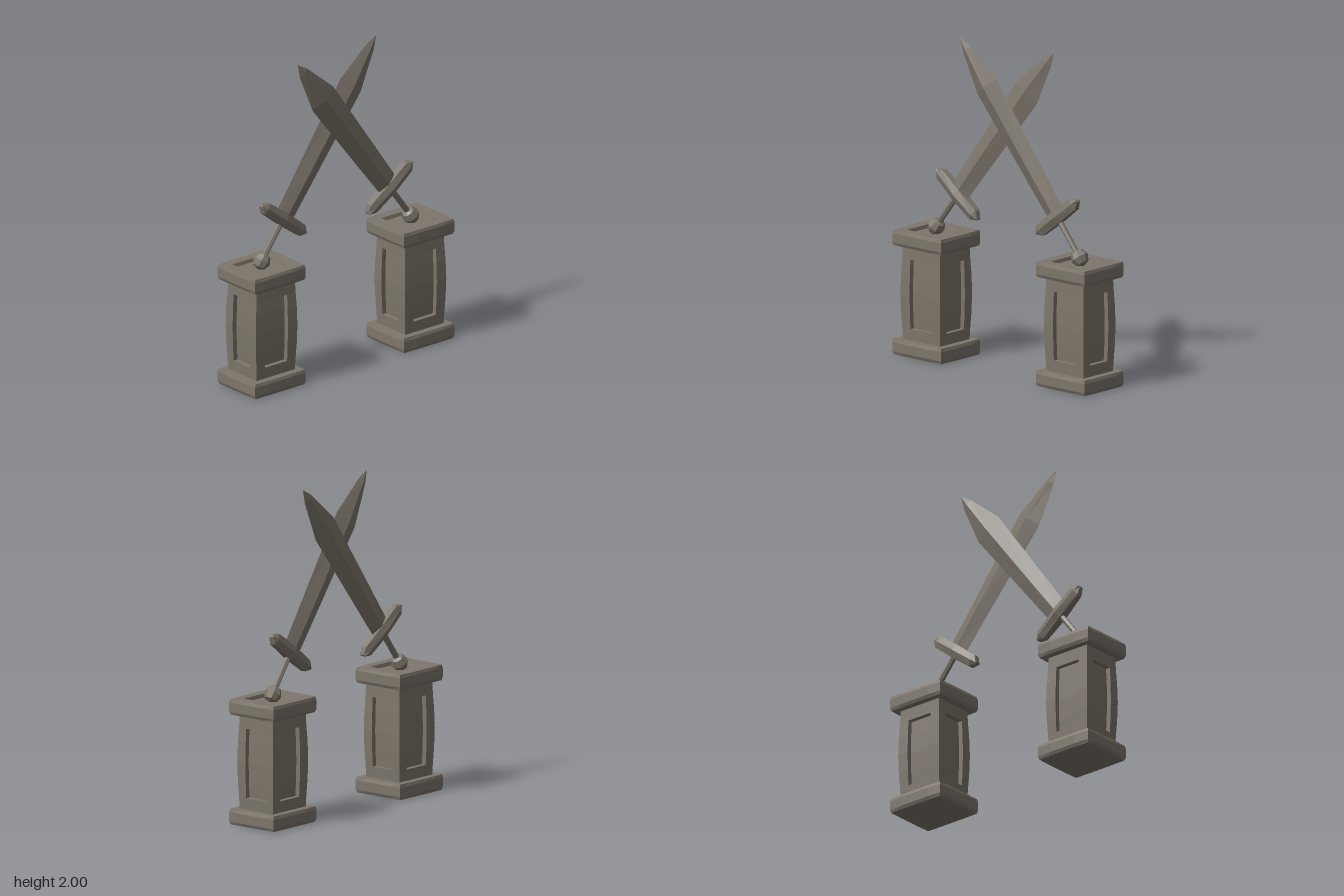
import * as THREE from 'three';

const stone = new THREE.MeshStandardMaterial({ color: 0x7d766b, flatShading: true });
stone.name = 'weathered stone';

// Flat-shaded geometry from four-cornered faces
function fromQuads(quads) {
  const pos = [];
  for (const [a, b, c, d] of quads) pos.push(...a, ...b, ...c, ...a, ...c, ...d);
  const g = new THREE.BufferGeometry();
  g.setAttribute('position', new THREE.Float32BufferAttribute(pos, 3));
  g.computeVertexNormals();
  return g;
}

// Skin over rings that run counter-clockwise about the direction of travel
function loft(rings) {
  const quads = [], n = rings[0].length;
  for (let i = 0; i < rings.length - 1; i++) {
    for (let j = 0; j < n; j++) {
      const k = (j + 1) % n;
      quads.push([rings[i][j], rings[i][k], rings[i + 1][k], rings[i + 1][j]]);
    }
  }
  return fromQuads(quads);
}

function add(parent, name, geometry) {
  const m = new THREE.Mesh(geometry, stone);
  m.name = name;
  parent.add(m);
  return m;
}

// Place a point given along and outward of side k (0 front, 1 left, 2 back, 3 right)
const onSide = (k, a, y, n) => [[a, y, n], [n, y, -a], [-a, y, -n], [-n, y, a]][k];

// Rectangular ring with sides that bulge slightly in the middle
function slabRing(y, hx, hz, bulge = 0) {
  const ring = [];
  for (let k = 0; k < 4; k++) {
    const along = k % 2 ? hz : hx, out = k % 2 ? hx : hz;
    for (const t of [-1, -0.5, 0.5]) {
      ring.push(onSide(k, t * along, y, out + (t === -1 ? 0 : bulge)));
    }
  }
  return ring;
}

// Worn slab, optionally with a sunken top
function slab(y0, y1, sunken) {
  const h = y1 - y0;
  const rings = [
    slabRing(y0, 0, 0),
    slabRing(y0, 0.19, 0.168, 0.002),
    slabRing(y0 + h * 0.2, 0.196, 0.174, 0.005),
    slabRing(y0 + h * 0.8, 0.196, 0.174, 0.005),
    slabRing(y1, 0.192, 0.17, 0.003),
  ];
  if (sunken) rings.push(slabRing(y1, 0.13, 0.115), slabRing(y1 - 0.022, 0.125, 0.11));
  const top = sunken ? y1 - 0.022 : y1;
  rings.push(slabRing(top, 0, 0));
  return loft(rings);
}

// Bulging column with a sunken panel on each side
function shaft() {
  const rows = [0.09, 0.165, 0.26, 0.38, 0.5, 0.59, 0.675];
  const swell = [0, 0.003, 0.008, 0.011, 0.008, 0.003, 0];
  const last = rows.length - 2, depth = 0.03, quads = [];
  for (let k = 0; k < 4; k++) {
    const [along, out, p] = k % 2 ? [0.13, 0.15, 0.077] : [0.15, 0.13, 0.087];
    const P = (c, i, d = 0) => {
      const half = along + swell[i];
      return onSide(k, [-half, -p, p, half][c], rows[i], out + swell[i] - d);
    };
    for (let i = 0; i <= last; i++) {
      const inPanel = i > 0 && i < last;
      for (let c = 0; c < 3; c++) {
        const d = inPanel && c === 1 ? depth : 0;
        quads.push([P(c, i, d), P(c + 1, i, d), P(c + 1, i + 1, d), P(c, i + 1, d)]);
      }
      if (inPanel) {
        quads.push([P(1, i), P(1, i, depth), P(1, i + 1, depth), P(1, i + 1)]);
        quads.push([P(2, i, depth), P(2, i), P(2, i + 1), P(2, i + 1, depth)]);
      }
    }
    quads.push([P(1, 1), P(2, 1), P(2, 1, depth), P(1, 1, depth)]);
    quads.push([P(1, last, depth), P(2, last, depth), P(2, last), P(1, last)]);
  }
  return fromQuads(quads);
}

function pedestal() {
  const g = new THREE.Group();
  g.name = 'pedestal';
  add(g, 'baseSlab', slab(0, 0.095, false));
  add(g, 'panelledShaft', shaft());
  add(g, 'capSlab', slab(0.67, 0.765, true));
  return g;
}

// Sword with its pommel at the origin, pointing up +y
function sword() {
  const g = new THREE.Group();
  g.name = 'sword';
  add(g, 'pommel', new THREE.SphereGeometry(0.055, 8, 4));
  add(g, 'grip', new THREE.CylinderGeometry(0.018, 0.018, 0.25, 6)).position.y = 0.15;

  // Guard: six-sided sections across the sword [x, half height, half depth]
  const guard = [[-0.21, 0, 0], [-0.21, 0.007, 0.02], [-0.17, 0.037, 0.032], [0, 0.041, 0.044],
    [0.17, 0.037, 0.032], [0.21, 0.007, 0.02], [0.21, 0, 0]];
  add(g, 'crossguard', loft(guard.map(([x, h, d]) => [
    [x, h, d * 0.6], [x, 0, d], [x, -h, d * 0.6], [x, -h, -d * 0.6], [x, 0, -d], [x, h, -d * 0.6],
  ]))).position.y = 0.282;

  // Blade: diamond sections [y, half width, half depth]
  const blade = [[0.27, 0, 0], [0.27, 0.072, 0.026], [0.6, 0.082, 0.033], [1.18, 0.098, 0.035],
    [1.44, 0.036, 0.015], [1.517, 0.002, 0.002], [1.517, 0, 0]];
  add(g, 'blade', loft(blade.map(([y, w, d]) => [[0, y, d], [w, y, 0], [0, y, -d], [-w, y, 0]])));
  return g;
}

export function createModel() {
  const model = new THREE.Group();
  model.name = 'crossedSwordsArch';
  // Each half is the other turned half way round; the blades lean apart to pass
  const halves = [['left', 0, 0.041], ['right', Math.PI, 0.026]];
  for (const [side, turn, lean] of halves) {
    const half = new THREE.Group();
    half.name = side + 'Half';
    half.rotation.y = turn;
    const p = pedestal();
    p.position.x = 0.58;
    const s = sword();
    s.position.set(0.58, 0.788, 0);
    s.rotation.set(lean, 0, 0.65);
    half.add(p, s);
    model.add(half);
  }
  return model;
}
